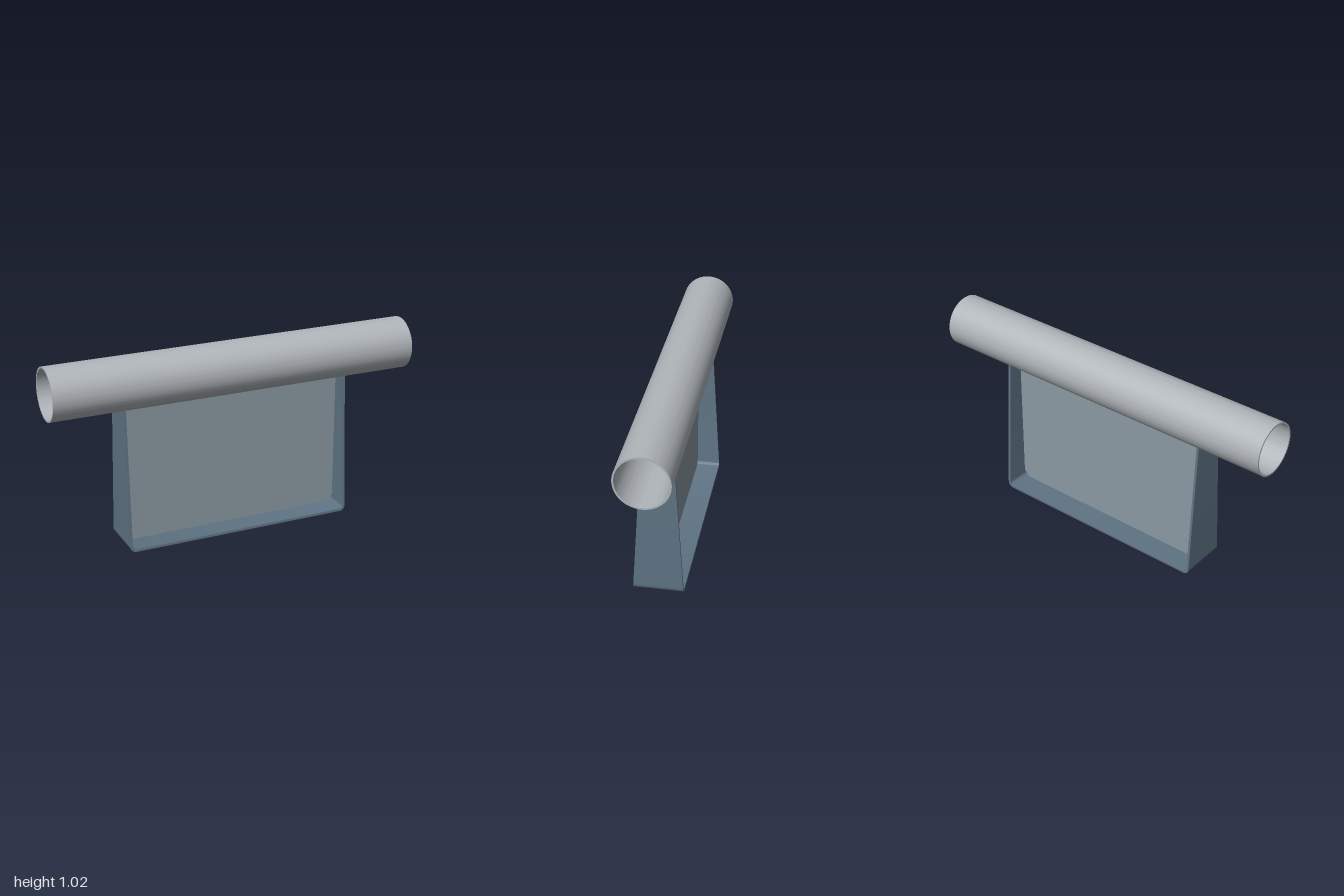
import * as THREE from 'three';
import { toCreasedNormals } from 'three/addons/utils/BufferGeometryUtils.js';

const TUBE_Y = 0.882, R_OUT = 0.139, R_IN = 0.13;
const HALF_W = 0.625, WALL = 0.013, CORNER = 0.032, TOP = 0.77;

const mat = (color) => new THREE.MeshStandardMaterial({ color });

function part(name, geometry, color) {
  const mesh = new THREE.Mesh(geometry, mat(color));
  mesh.name = name;
  return mesh;
}

// Horizontal hollow tube, open at both ends
function tubeGeometry() {
  const shape = new THREE.Shape().absarc(0, 0, R_OUT, 0, Math.PI * 2, false);
  shape.holes.push(new THREE.Path().absarc(0, 0, R_IN, 0, Math.PI * 2, true));
  const g = new THREE.ExtrudeGeometry(shape, { depth: 2, bevelEnabled: false, curveSegments: 48 });
  g.translate(0, 0, -1).rotateY(Math.PI / 2).translate(0, TUBE_Y, 0);
  return toCreasedNormals(g, 0.6);
}

// U-shaped strap: tapers in depth towards the top, where it is cut to fit the tube
function strapGeometry() {
  const w = HALF_W, i = HALF_W - WALL, r = CORNER, ri = CORNER - WALL;
  const s = new THREE.Shape();
  s.moveTo(-w, TOP);
  s.lineTo(-w, r);
  s.absarc(-w + r, r, r, Math.PI, Math.PI * 1.5, false);
  s.lineTo(w - r, 0);
  s.absarc(w - r, r, r, Math.PI * 1.5, Math.PI * 2, false);
  s.lineTo(w, TOP);
  s.lineTo(i, TOP);
  s.lineTo(i, r);
  s.absarc(w - r, r, ri, 0, -Math.PI / 2, true);
  s.lineTo(-w + r, WALL);
  s.absarc(-w + r, r, ri, -Math.PI / 2, -Math.PI, true);
  s.lineTo(-i, TOP);
  s.closePath();
  const g = new THREE.ExtrudeGeometry(s, { depth: 2, steps: 16, bevelEnabled: false, curveSegments: 8 });
  const p = g.attributes.position;
  for (let k = 0; k < p.count; k++) {
    const y = p.getY(k);
    const z = (p.getZ(k) - 1) * THREE.MathUtils.lerp(0.13, 0.083, y / TOP);
    p.setZ(k, z);
    if (y > TOP - 0.001) p.setY(k, TUBE_Y - Math.sqrt(R_OUT * R_OUT - z * z));
  }
  g.computeVertexNormals();
  return toCreasedNormals(g, 0.6);
}

// Thin centre panel with clipped lower corners
function panelGeometry() {
  const x = HALF_W - WALL, y = WALL, c = 0.034, t = 0.01, top = TUBE_Y - R_OUT + 0.001;
  const s = new THREE.Shape([
    [-x, top], [-x, y + c], [-x + c, y], [x - c, y], [x, y + c], [x, top],
  ].map(([a, b]) => new THREE.Vector2(a, b)));
  return new THREE.ExtrudeGeometry(s, { depth: t, bevelEnabled: false }).translate(0, 0, -t / 2);
}

export function createModel() {
  const model = new THREE.Group();
  model.name = 'tubeOnFrame';
  model.add(
    part('tube', tubeGeometry(), 0xb0b5ba),
    part('frameStrap', strapGeometry(), 0x5f7484),
    part('centrePanel', panelGeometry(), 0x8c9aa3),
  );
  return model;
}
